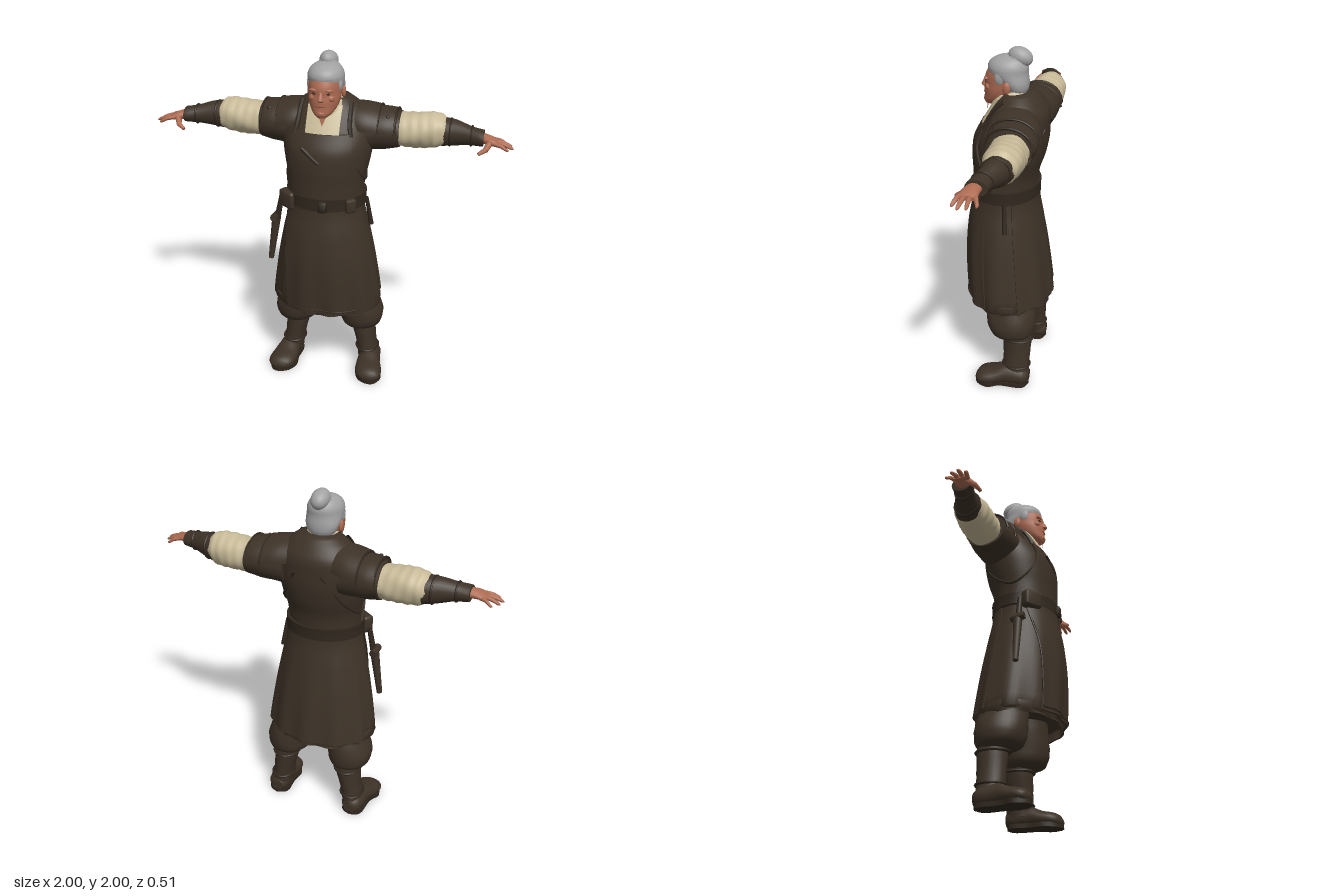
import * as THREE from 'three';
import { toCreasedNormals } from 'three/addons/utils/BufferGeometryUtils.js';
import { RoundedBoxGeometry } from 'three/addons/geometries/RoundedBoxGeometry.js';

const TAU = Math.PI * 2, rad = THREE.MathUtils.degToRad;
const V = (x, y, z) => new THREE.Vector3(x, y, z);
const colour = (name, color) => Object.assign(new THREE.MeshStandardMaterial({ color, side: THREE.DoubleSide }), { name });

// Where a loft's (t, a, b) goes for each axis; all keep the same winding.
const AXES = { y: (t, a, b) => [a, t, b], x: (t, a, b) => [t, b, a], z: (t, a, b) => [b, a, t] };

function build(pos, index) {
  const g = new THREE.BufferGeometry();
  g.setAttribute('position', new THREE.Float32BufferAttribute(pos, 3));
  g.setIndex(index);
  return g;
}

// Blend the rows of a section table smoothly at t.
function sectionAt(rows, t) {
  let i = 0;
  while (i < rows.length - 2 && rows[i + 1][0] < t) i++;
  const at = k => rows[Math.min(Math.max(k, 0), rows.length - 1)];
  const p = at(i), q = at(i + 1), h = q[0] - p[0], s = Math.min(Math.max((t - p[0]) / h, 0), 1);
  const slope = (k, c) => (at(k + 1)[c] - at(k - 1)[c]) / (at(k + 1)[0] - at(k - 1)[0]);
  return p.map((_, c) => c === 0 ? t :
    (1 + 2 * s) * (1 - s) ** 2 * p[c] + s * (1 - s) ** 2 * h * slope(i, c) +
    s * s * (3 - 2 * s) * q[c] + s * s * (s - 1) * h * slope(i + 1, c));
}

// Capped loft through elliptical sections [t, a, b, radiusA, radiusB].
function loft(axis, rows, { n = 24, steps = 3, arc = TAU, wrinkle = 0 } = {}) {
  const pos = [], index = [], rings = [], full = arc === TAU, w = full ? n : n + 1;
  rows.forEach((r, i) => {
    if (i) for (let k = 1; k < steps; k++) rings.push(sectionAt(rows, r[0] + (rows[i - 1][0] - r[0]) * (1 - k / steps)));
    rings.push(r);
  });
  rings.forEach(([t, a, b, ra, rb]) => {
    for (let j = 0; j < w; j++) {
      const q = arc * j / n, f = 1 + wrinkle * Math.sin(q * 3 + t * 45) * Math.sin(t * 70 - q * 2);
      pos.push(...AXES[axis](t, a + ra * f * Math.cos(q), b + rb * f * Math.sin(q)));
    }
  });
  for (let i = 0; i < rings.length - 1; i++) for (let j = 0; j < n; j++) {
    const p = i * w + j, q = i * w + (j + 1) % w;
    index.push(p, p + w, q, q, p + w, q + w);
  }
  [0, rings.length - 1].forEach((i, end) => {
    const c = pos.length / 3, r = rings[i];
    pos.push(...AXES[axis](r[0], r[1], r[2]));
    for (let j = 0; j < n; j++) {
      const p = i * w + j, q = i * w + (j + 1) % w;
      index.push(c, end ? q : p, end ? p : q);
    }
  });
  return build(pos, index);
}

// Coat sections: [y, x, z, halfWidth, halfDepth]
const COAT = [[0.5, 0, -0.005, 0.312, 0.23], [0.53, 0, -0.002, 0.32, 0.235], [0.8, 0, 0.02, 0.283, 0.225],
  [1, 0, 0.03, 0.245, 0.202], [1.15, 0, 0.03, 0.212, 0.177], [1.3, 0, 0.025, 0.215, 0.178], [1.4, 0, 0.01, 0.235, 0.195],
  [1.5, 0, -0.005, 0.25, 0.2], [1.58, 0, -0.025, 0.25, 0.182], [1.66, 0, -0.045, 0.225, 0.158],
  [1.72, 0, -0.045, 0.17, 0.122], [1.76, 0, -0.04, 0.115, 0.09]];
function coatPoint(y, q, off = 0) {
  const [, x, z, rx, rz] = sectionAt(COAT, y);
  const fold = Math.max(0, 1.1 - y) * 0.014 * Math.sin(q * 11);
  return V(x + (rx + off + fold) * Math.cos(q), y, z + (rz + off + fold) * Math.sin(q));
}
const angleOf = (x, y) => Math.acos(THREE.MathUtils.clamp(x / sectionAt(COAT, y)[3], -1, 1));

// Raised cloth panel lying on the coat between two edge angles.
function panel(y0, y1, from, to, off = 0.012, n = 28, m = 24) {
  const pos = [], index = [], w = n + 3;
  for (let i = -1; i <= m + 1; i++) for (let j = -1; j <= n + 1; j++) {
    const s = THREE.MathUtils.clamp(i / m, 0, 1), u = THREE.MathUtils.clamp(j / n, 0, 1), y = y0 + (y1 - y0) * s;
    const border = i < 0 || j < 0 || i > m || j > n;
    pos.push(...coatPoint(y, from(y) + (to(y) - from(y)) * u, border ? 0 : off));
  }
  for (let i = 0; i < m + 2; i++) for (let j = 0; j < n + 2; j++) {
    const p = i * w + j;
    index.push(p, p + w, p + 1, p + 1, p + w, p + w + 1);
  }
  return build(pos, index);
}
const cord = (pts, r) => new THREE.TubeGeometry(new THREE.CatmullRomCurve3(pts), 32, r, 6);
const ball = (x, y, z, rx, ry, rz) => new THREE.SphereGeometry(1, 24, 16).scale(rx, ry, rz).translate(x, y, z);
function rod(a, b, r0, r1) {
  const d = b.clone().sub(a), g = new THREE.CylinderGeometry(r1, r0, d.length(), 12);
  g.applyQuaternion(new THREE.Quaternion().setFromUnitVectors(V(0, 1, 0), d.normalize()));
  const c = a.clone().add(b).multiplyScalar(0.5);
  return g.translate(c.x, c.y, c.z);
}
function mirrored(g) {
  const m = g.clone().scale(-1, 1, 1), ix = m.index.array;
  for (let i = 0; i < ix.length; i += 3) [ix[i], ix[i + 1]] = [ix[i + 1], ix[i]];
  return m;
}

export function createModel() {
  const model = new THREE.Group();
  model.name = 'craftsman';
  const leather = colour('dark brown leather', 0x3d3227), trim = colour('darker leather', 0x30271e);
  const linen = colour('cream linen', 0xc8ba98), skin = colour('skin', 0xad6b52), hair = colour('grey hair', 0xa2a2a2);
  const lip = colour('lips', 0x8a4c3c), eye = colour('eyes', 0x2c201b);
  const add = (name, g, mat) => {
    const mesh = new THREE.Mesh(toCreasedNormals(g, 0.9), mat);
    mesh.name = name;
    model.add(mesh);
  };
  const pair = (name, g, mat) => {
    add(name + 'Left', g, mat);
    add(name + 'Right', mirrored(g), mat);
  };

  // Coat with a hollow hem and gentle folds
  const rows = [];
  const body = loft('y', [[0.58, 0, 0, 0.25, 0.18], ...COAT], { n: 64, steps: 4 });
  const p = body.attributes.position;
  for (let i = 0; i < p.count; i++) {
    const y = p.getY(i), q = Math.atan2(p.getZ(i), p.getX(i));
    const fold = i < 64 * 4 ? 0 : Math.max(0, 1.1 - y) * 0.014 * Math.sin(q * 11);
    p.setX(i, p.getX(i) + fold * Math.cos(q));
    p.setZ(i, p.getZ(i) + fold * Math.sin(q));
  }
  add('coat', body, leather);

  // Apron, back skirt, belt
  const bibEdge = y => 0.15 + 0.06 * Math.min(1, Math.max(0, (1.6 - y) / 0.28)) ** 1.5;
  add('apronBib', panel(1.2, 1.595, y => angleOf(bibEdge(y), y), y => angleOf(-bibEdge(y), y)), leather);
  add('apronSkirt', panel(0.525, 1.19, y => angleOf(0.93 * sectionAt(COAT, y)[3], y), y => angleOf(-0.195, y), 0.014), leather);
  add('backSkirt', panel(0.53, 1.19, () => rad(205), () => rad(335), 0.01), leather);
  add('belt', panel(1.17, 1.24, () => rad(-90), () => rad(270), 0.016, 64, 3), trim);
  add('apronHem', cord([-0.19, -0.1, 0, 0.1, 0.2, 0.29].map(x => coatPoint(0.545, angleOf(x, 0.545), 0.014)), 0.005), trim);
  add('skirtSlit', cord([0.53, 0.7, 0.9, 1.15].map(y => coatPoint(y, angleOf(-0.195, y), 0.01)), 0.005), trim);
  pair('armholeSeam', cord([[62, 1.56], [42, 1.42], [0, 1.31], [-40, 1.4], [-72, 1.58]]
    .map(([d, y]) => coatPoint(y, rad(d), 0.002)), 0.008), trim);
  pair('apronStrap', cord([[53, 1.58], [54, 1.63], [50, 1.68], [30, 1.735]]
    .map(([d, y]) => coatPoint(y, rad(d), 0.004)), 0.013), trim);

  // Belt pouches, hanging strap, sheathed knife and chest tool
  add('beltPouch', new RoundedBoxGeometry(0.11, 0.1, 0.06, 2, 0.015).rotateY(-0.6).translate(-0.195, 1.19, 0.13), leather);
  add('smallPouch', new RoundedBoxGeometry(0.06, 0.08, 0.04, 2, 0.012).rotateY(0.6).translate(0.165, 1.2, 0.165), leather);
  add('beltTie', new RoundedBoxGeometry(0.05, 0.065, 0.03, 2, 0.01).translate(0.02, 1.2, 0.222), trim);
  add('hangingStrap', rod(V(0.222, 1.18, -0.01), V(0.25, 1.01, -0.02), 0.01, 0.014), trim);
  add('knifeHandle', rod(V(-0.25, 1.18, 0.08), V(-0.28, 1.03, 0.08), 0.014, 0.018), trim);
  add('knifeGuard', rod(V(-0.29, 1.04, 0.04), V(-0.29, 1.05, 0.12), 0.022, 0.022), leather);
  add('knifeSheath', rod(V(-0.285, 1.04, 0.08), V(-0.325, 0.77, 0.08), 0.026, 0.016), leather);
  add('chestTool', rod(V(-0.1, 1.52, 0.19), V(-0.005, 1.445, 0.21), 0.01, 0.013), trim);

  // Shirt front, throat and collar
  add('shirtFront', panel(1.59, 1.73, y => angleOf(0.09, y), y => angleOf(-0.09, y), 0.008, 12, 8), linen);
  const collar = loft('y', [[1.7, 0, 0.015, 0.108, 0.1], [1.74, 0, 0.012, 0.1, 0.094], [1.765, 0, 0.01, 0.085, 0.08]]);
  for (let i = 0, c = collar.attributes.position; i < c.count; i++) c.setY(i, c.getY(i) - 0.3 * c.getZ(i));
  add('collar', collar, linen);
  add('throat', build([-0.038, 1.725, 0.122, 0, 1.635, 0.143, 0.038, 1.725, 0.122], [0, 1, 2]), skin);
  add('neck', loft('y', [[1.6, 0, 0.01, 0.065, 0.065], [1.68, 0, 0.02, 0.065, 0.068], [1.78, 0, 0.02, 0.068, 0.07]]), skin);

  // Head and face
  const X = -0.005;
  add('head', loft('y', [[1.68, X, 0.115, 0.026, 0.032], [1.7, X, 0.095, 0.052, 0.06], [1.73, X, 0.065, 0.074, 0.087],
    [1.77, X, 0.052, 0.086, 0.1], [1.8, X, 0.042, 0.089, 0.105], [1.83, X, 0.038, 0.09, 0.11], [1.86, X, 0.033, 0.089, 0.106],
    [1.9, X, 0.025, 0.08, 0.09], [1.935, X, 0.015, 0.05, 0.06]], { n: 32 }), skin);
  add('nose', loft('y', [[1.768, X, 0.14, 0.012, 0.014], [1.778, X, 0.145, 0.02, 0.025], [1.79, X, 0.142, 0.016, 0.026],
    [1.815, X, 0.138, 0.01, 0.016], [1.83, X, 0.135, 0.009, 0.01]], { n: 12 }), skin);
  add('mouth', ball(X, 1.745, 0.147, 0.026, 0.005, 0.009), lip);
  add('chin', ball(X, 1.705, 0.137, 0.03, 0.02, 0.02), skin);
  for (const s of [-1, 1]) {
    const side = s > 0 ? 'Left' : 'Right';
    add('eye' + side, ball(X + s * 0.036, 1.812, 0.135, 0.013, 0.005, 0.007), eye);
    add('brow' + side, ball(X + s * 0.038, 1.83, 0.13, 0.028, 0.009, 0.015), skin);
    add('cheek' + side, ball(X + s * 0.045, 1.785, 0.118, 0.025, 0.02, 0.02), skin);
    add('ear' + side, ball(X + s * 0.094, 1.795, 0.01, 0.012, 0.034, 0.021), skin);
    add('sideburn' + side, ball(X + s * 0.082, 1.845, 0.05, 0.014, 0.04, 0.028), hair);
  }

  // Swept-back hair and topknot
  add('hair', loft('y', [[1.745, X, -0.03, 0.055, 0.045], [1.77, X, -0.03, 0.078, 0.058], [1.81, X, -0.018, 0.094, 0.074],
    [1.86, X, 0.018, 0.099, 0.105], [1.89, X, 0.022, 0.098, 0.11], [1.92, X, 0.02, 0.085, 0.098], [1.943, X, 0.012, 0.058, 0.068],
    [1.953, X, 0.01, 0.02, 0.025]], { n: 32 }), hair);
  add('topknot', ball(0, 0, 0, 0.05, 0.05, 0.068).rotateX(-0.35).translate(X, 1.946, -0.045), hair);
  add('topknotTie', new THREE.TorusGeometry(0.042, 0.01, 8, 24).rotateX(1.2).translate(X, 1.938, -0.03), hair);

  // Arms: coat sleeve, layered shoulder guards, shirt sleeve, bracer
  pair('coatSleeve', loft('x', [[0.16, -0.06, 1.57, 0.13, 0.12], [0.28, -0.072, 1.573, 0.13, 0.112],
    [0.39, -0.083, 1.575, 0.115, 0.1]], { wrinkle: 0.02 }), leather);
  pair('upperShoulderGuard', loft('x', [[0.13, -0.055, 1.61, 0.13, 0.115], [0.2, -0.06, 1.6, 0.148, 0.122],
    [0.28, -0.068, 1.59, 0.145, 0.118]], { arc: Math.PI }), leather);
  pair('lowerShoulderGuard', loft('x', [[0.25, -0.07, 1.585, 0.136, 0.112], [0.32, -0.075, 1.585, 0.138, 0.112],
    [0.375, -0.08, 1.578, 0.128, 0.112]], { arc: Math.PI }), leather);
  for (const [x, r] of [[0.28, 0.132], [0.372, 0.118]]) pair('guardEdge', cord(
    [0, 36, 72, 108, 144, 180].map(d => V(x, 1.58 + 0.94 * r * Math.sin(rad(d)), -0.075 + (r + 0.008) * Math.cos(rad(d)))), 0.007), trim);
  pair('guardRivet', ball(0.33, 1.668, 0.008, 0.012, 0.012, 0.012), trim);
  pair('shirtSleeve', loft('x', [[0.36, -0.085, 1.575, 0.098, 0.09], [0.45, -0.087, 1.575, 0.102, 0.097],
    [0.54, -0.09, 1.582, 0.099, 0.098], [0.6, -0.09, 1.584, 0.09, 0.092], [0.635, -0.088, 1.582, 0.074, 0.074]],
    { wrinkle: 0.045, steps: 6, n: 32 }), linen);
  pair('bracer', loft('x', [[0.615, -0.09, 1.578, 0.08, 0.08], [0.69, -0.077, 1.582, 0.064, 0.07],
    [0.77, -0.053, 1.58, 0.052, 0.051], [0.82, -0.042, 1.578, 0.056, 0.045], [0.84, -0.04, 1.578, 0.056, 0.042]]), leather);
  for (const [x, z, r] of [[0.66, -0.083, 0.073], [0.775, -0.052, 0.052]])
    pair('bracerStrap', new THREE.TorusGeometry(r, 0.006, 6, 24).rotateY(Math.PI / 2).translate(x, 1.58, z), trim);

  // Hands
  pair('palm', loft('x', [[0.82, -0.038, 1.58, 0.034, 0.028], [0.86, -0.026, 1.577, 0.042, 0.025],
    [0.9, -0.02, 1.57, 0.047, 0.018], [0.92, -0.02, 1.565, 0.044, 0.012]], { n: 16 }), skin);
  for (const [z0, z1, tip] of [[0.014, 0.036, 0.975], [-0.008, 0.003, 0.999], [-0.031, -0.036, 0.99], [-0.052, -0.076, 0.96]])
    pair('finger', loft('x', [[0.885, z0, 1.569, 0.012, 0.012], [(0.885 + tip) / 2, (z0 + z1) / 2, 1.564, 0.012, 0.011],
      [tip - 0.012, z1, 1.549, 0.009, 0.009], [tip, z1, 1.545, 0.004, 0.004]], { n: 10 }), skin);
  pair('thumbBase', rod(V(0.875, 1.57, 0), V(0.855, 1.54, 0.045), 0.019, 0.014), skin);
  pair('thumb', rod(V(0.858, 1.543, 0.042), V(0.82, 1.522, 0.062), 0.014, 0.009), skin);

  // Legs: baggy trousers and boots
  pair('trouserLeg', loft('y', [[0.325, 0.2, -0.06, 0.08, 0.09], [0.345, 0.2, -0.052, 0.118, 0.128], [0.42, 0.198, -0.045, 0.133, 0.145],
    [0.5, 0.18, -0.04, 0.125, 0.14], [0.62, 0.16, -0.02, 0.11, 0.12]], { wrinkle: 0.02, n: 32 }), leather);
  pair('bootShaft', loft('y', [[0.06, 0.245, -0.085, 0.066, 0.08], [0.12, 0.235, -0.083, 0.063, 0.078], [0.2, 0.222, -0.085, 0.064, 0.08],
    [0.3, 0.206, -0.086, 0.074, 0.085], [0.36, 0.2, -0.085, 0.075, 0.085]], { wrinkle: 0.015 }), leather);
  pair('bootFoot', loft('z', [[-0.163, 0.055, 0.248, 0.04, 0.04], [-0.13, 0.06, 0.25, 0.058, 0.062], [-0.03, 0.065, 0.256, 0.065, 0.066],
    [0.04, 0.052, 0.266, 0.05, 0.079], [0.1, 0.046, 0.274, 0.044, 0.079], [0.135, 0.04, 0.278, 0.034, 0.06],
    [0.15, 0.036, 0.28, 0.015, 0.03]]), leather);
  const sole = new THREE.Shape(new THREE.SplineCurve([[0.25, 0.165], [0.31, 0.13], [0.318, 0], [0.35, -0.07], [0.325, -0.135],
    [0.28, -0.153], [0.22, -0.125], [0.188, -0.06], [0.195, 0.02], [0.19, 0.13], [0.25, 0.165]].map(q => new THREE.Vector2(...q))).getPoints(40));
  const soleShape = new THREE.ExtrudeGeometry(sole, { depth: 0.025, bevelEnabled: false }).rotateX(-Math.PI / 2);
  soleShape.setIndex([...Array(soleShape.attributes.position.count).keys()]);
  pair('bootSole', soleShape, trim);
  for (const [y, x, r] of [[0.13, 0.234, 0.066], [0.31, 0.205, 0.077]])
    pair('bootStrap', new THREE.TorusGeometry(r, 0.008, 6, 24).rotateX(Math.PI / 2).scale(1, 1, 1.18).translate(x, y, -0.085), trim);
  return model;
}
